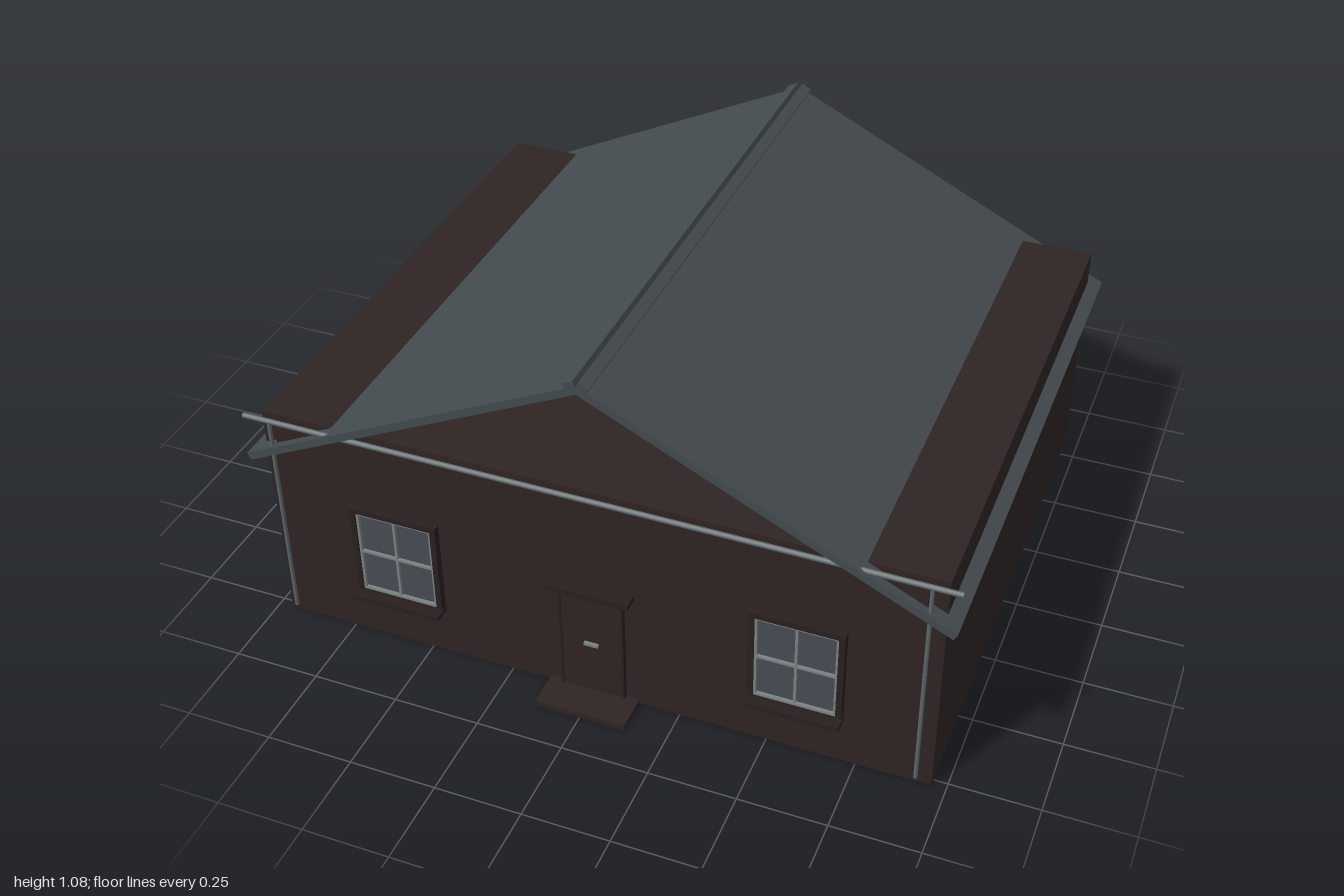
import * as THREE from 'three';

const mat = (name, color) => {
  const m = new THREE.MeshStandardMaterial({ color });
  m.name = name;
  return m;
};

export function createModel() {
  const house = new THREE.Group();
  house.name = 'house';
  const wall = mat('dark brown wall', 0x2f2424);
  const trim = mat('darker brown trim', 0x291e1e);
  const slate = mat('slate roof', 0x434b4f);
  const glass = mat('window glass', 0x454d52);
  const metal = mat('grey metal', 0x7c8284);
  const pipe = mat('gutter grey', 0x5c6568);

  // Box given by its limits on each axis
  const box = (name, material, [x0, x1], [y0, y1], [z0, z1], parent = house) => {
    const mesh = new THREE.Mesh(new THREE.BoxGeometry(x1 - x0, y1 - y0, z1 - z0), material);
    mesh.position.set((x0 + x1) / 2, (y0 + y1) / 2, (z0 + z1) / 2);
    mesh.name = name;
    parent.add(mesh);
    return mesh;
  };
  const rod = (name, material, radius, length, x, y, z) => {
    const mesh = new THREE.Mesh(new THREE.CylinderGeometry(radius, radius, length, 12), material);
    mesh.position.set(x, y, z);
    mesh.name = name;
    house.add(mesh);
    return mesh;
  };

  // Body and frieze board
  const front = 0.77;
  box('walls', wall, [-0.96, 0.96], [0, 0.705], [-0.835, front]);
  box('frieze', wall, [-0.912, 0.912], [0.588, 0.685], [front, 0.79]);

  // Open-gabled roof: two tilted slabs and a two-piece ridge cap
  const slope = Math.atan2(0.48, 0.99);
  const roofZ = [-0.88, 0.814];
  for (const side of [-1, 1]) {
    const slab = box('roofSlab', slate, [-0.553, 0.553], [-0.0115, 0.0115], roofZ);
    slab.position.x = side * 0.495;
    slab.position.y = 0.815;
    slab.rotation.z = -side * slope;
    const cap = box('ridgeCap', slate, [-0.016, 0.016], [-0.011, 0.011], roofZ);
    cap.position.x = side * 0.017;
    cap.position.y = 1.064;
    cap.rotation.z = -side * slope;
  }

  // Front gutter and downpipes
  rod('gutter', pipe, 0.008, 2, 0, 0.701, 0.799).rotation.z = Math.PI / 2;
  for (const side of [-1, 1]) rod('downpipe', pipe, 0.006, 0.655, side * 0.922, 0.3725, 0.799);

  // Door with jambs, head, handle and step
  box('door', wall, [-0.087, 0.087], [0.015, 0.37], [front, 0.782]);
  for (const side of [-1, 1]) {
    const x = side * 0.0905;
    box('doorJamb', trim, [x - 0.0035, x + 0.0035], [0.015, 0.375], [front, 0.785]);
  }
  box('doorHead', trim, [-0.122, 0.122], [0.373, 0.389], [front, 0.815]);
  box('doorHandle', metal, [-0.021, 0.021], [0.184, 0.193], [0.782, 0.791]);
  box('doorstep', wall, [-0.132, 0.132], [0, 0.016], [front, 0.88]);

  // Windows: brown surround, glass, light sash bars and sill
  for (const side of [-1, 1]) {
    const w = new THREE.Group();
    w.name = 'window';
    w.position.set(side * 0.58, 0.307, front);
    house.add(w);
    for (const s of [-1, 1]) {
      const x = s * 0.1225, y = s * 0.144;
      box('surroundSide', trim, [x - 0.0085, x + 0.0085], [-0.152, 0.152], [0, 0.022], w);
      box('surroundRail', trim, [-0.114, 0.114], [y - 0.008, y + 0.008], [0, 0.022], w);
      const bx = s * 0.1105, by = s * 0.1325;
      box('sashSide', metal, [bx - 0.0035, bx + 0.0035], [-0.136, 0.136], [0, 0.018], w);
      box('sashRail', metal, [-0.107, 0.107], [by - 0.0035, by + 0.0035], [0, 0.018], w);
    }
    box('glass', glass, [-0.107, 0.107], [-0.129, 0.129], [0, 0.008], w);
    box('mullion', metal, [-0.0035, 0.0035], [-0.129, 0.129], [0.008, 0.017], w);
    box('transom', metal, [-0.107, 0.107], [-0.0035, 0.0035], [0.008, 0.017], w);
    box('sill', trim, [-0.134, 0.134], [-0.152, -0.138], [0, 0.055], w);
  }
  return house;
}
